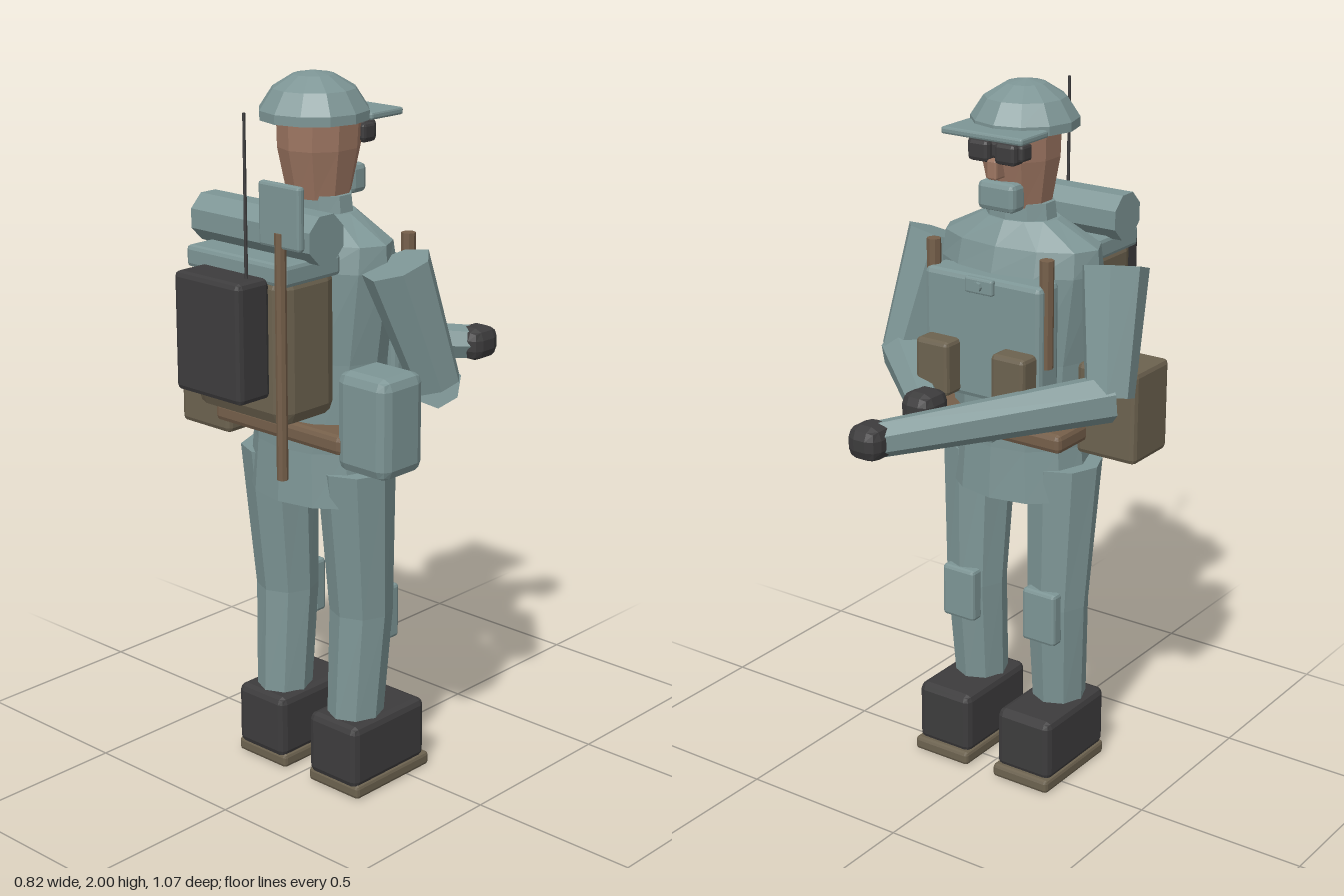
import * as THREE from 'three';
import { RoundedBoxGeometry } from 'three/addons/geometries/RoundedBoxGeometry.js';

const mat = (name, color) => {
  const m = new THREE.MeshStandardMaterial({ color, flatShading: true });
  m.name = name;
  return m;
};

export function createModel() {
  const cloth = mat('blue grey cloth', 0x7d9595);
  const brown = mat('canvas brown', 0x6c624f);
  const wood = mat('wood brown', 0x755f4a);
  const black = mat('dark rubber', 0x3d3c3d);
  const skin = mat('skin', 0x9c7561);

  const root = new THREE.Group();
  root.name = 'fieldSoldier';
  const add = (name, geo, m, x = 0, y = 0, z = 0) => {
    const mesh = new THREE.Mesh(geo, m);
    mesh.name = name;
    mesh.position.set(x, y, z);
    root.add(mesh);
    return mesh;
  };

  // Chamfered box given by its limits on each axis
  const box = (name, m, [x0, x1], [y0, y1], [z0, z1], c = 0.01) => add(name,
    new RoundedBoxGeometry(x1 - x0, y1 - y0, z1 - z0, 1, c), m,
    (x0 + x1) / 2, (y0 + y1) / 2, (z0 + z1) / 2);

  // Stack of elliptical rings, top first: [y, radiusX, radiusZ, centreZ, centreX]
  const loft = (name, m, rings, n = 12) => {
    const k = rings.length - 1;
    const g = new THREE.CylinderGeometry(1, 1, 1, n, k);
    const p = g.attributes.position;
    for (let i = 0; i < p.count; i++) {
      const [y, rx, rz, cz = 0, cx = 0] = rings[Math.round((0.5 - p.getY(i)) * k)];
      p.setXYZ(i, p.getX(i) * rx + cx, y, p.getZ(i) * rz + cz);
    }
    g.computeVertexNormals();
    return add(name, g, m);
  };

  // Tapered limb between two points
  const limb = (name, m, a, b, ra, rb, n = 7) => {
    const A = new THREE.Vector3(...a), B = new THREE.Vector3(...b);
    const d = A.clone().sub(B);
    const mesh = add(name, new THREE.CylinderGeometry(ra, rb, d.length(), n), m);
    mesh.position.copy(A).add(B).multiplyScalar(0.5);
    mesh.quaternion.setFromUnitVectors(new THREE.Vector3(0, 1, 0), d.normalize());
    return mesh;
  };

  // Legs, knee pads, boots
  for (const s of [-1, 1]) {
    const side = s > 0 ? 'left' : 'right';
    loft(side + 'Leg', cloth, [
      [0.945, 0.105, 0.11, 0.125, s * 0.145],
      [0.52, 0.088, 0.088, 0.1, s * 0.142],
      [0.19, 0.075, 0.082, 0.12, s * 0.138],
    ], 8);
    box(side + 'KneePad', cloth, [s * 0.14 - 0.055, s * 0.14 + 0.055], [0.42, 0.58], [0, 0.045]);
    box(side + 'Boot', black, [s * 0.14 - 0.09, s * 0.14 + 0.09], [0.03, 0.215], [-0.075, 0.22], 0.02);
    box(side + 'Sole', brown, [s * 0.14 - 0.094, s * 0.14 + 0.094], [0, 0.04], [-0.09, 0.215], 0.01);
  }

  // Tunic with skirt, shoulders and collar
  loft('tunic', cloth, [
    [1.635, 0.115, 0.085, 0.115],
    [1.57, 0.245, 0.13, 0.12],
    [1.5, 0.25, 0.15, 0.12],
    [1.25, 0.215, 0.15, 0.12],
    [1.0, 0.2, 0.152, 0.12],
    [0.85, 0.215, 0.16, 0.12],
  ]);
  loft('collar', cloth, [[1.68, 0.1, 0.075, 0.113], [1.6, 0.11, 0.08, 0.113]], 10);

  // Head, goggles, nose, mask
  loft('head', skin, [
    [1.89, 0.112, 0.118, 0.11],
    [1.8, 0.108, 0.115, 0.112],
    [1.67, 0.085, 0.085, 0.113],
  ], 10);
  box('nose', skin, [-0.016, 0.016], [1.755, 1.81], [-0.028, 0.02], 0.006);
  box('goggleStrap', black, [-0.09, 0.09], [1.81, 1.855], [-0.012, 0.035], 0.008);
  for (const s of [-1, 1])
    box('goggleLens', black, [s * 0.043 - 0.034, s * 0.043 + 0.034], [1.8, 1.86], [-0.032, 0.02], 0.012);
  box('mask', cloth, [-0.06, 0.06], [1.665, 1.745], [-0.012, 0.05], 0.015);

  // Helmet and visor
  loft('helmet', cloth, [
    [2.0, 0.001, 0.001, 0.135],
    [1.99, 0.055, 0.055, 0.132],
    [1.955, 0.112, 0.112, 0.13],
    [1.9, 0.148, 0.148, 0.13],
    [1.875, 0.148, 0.148, 0.13],
  ]);
  box('visor', cloth, [-0.13, 0.13], [1.872, 1.892], [-0.075, 0.05], 0.006);

  // Arms reaching forward; the right one is stretched out
  const arms = [
    ['left', [0.29, 1.53, 0.13], [0.345, 1.2, 0.03], [0.12, 1.14, -0.17], [0.107, 1.145, -0.19]],
    ['right', [-0.29, 1.53, 0.13], [-0.345, 1.2, 0.03], [0.05, 1.15, -0.46], [0.06, 1.15, -0.478]],
  ];
  for (const [side, shoulder, elbow, wrist, hand] of arms) {
    limb(side + 'UpperArm', cloth, shoulder, elbow, 0.095, 0.068);
    limb(side + 'Forearm', cloth, elbow, wrist, 0.068, 0.05);
    add(side + 'Hand', new RoundedBoxGeometry(0.1, 0.095, 0.112, 1, 0.032), black, ...hand);
  }

  // Chest rig with pouches and sticks
  box('chestPlate', cloth, [-0.19, 0.19], [1.15, 1.5], [-0.075, 0.02], 0.015);
  box('chestRadio', cloth, [-0.045, 0.045], [1.455, 1.5], [-0.09, -0.07], 0.006);
  add('radioKnob', new THREE.CylinderGeometry(0.014, 0.014, 0.02, 8), cloth, 0, 1.478, -0.09).rotation.x = Math.PI / 2;
  for (const s of [-1, 1]) {
    box('chestPouch', brown, [s * 0.125 - 0.054, s * 0.125 + 0.054], [1.16, 1.315], [-0.135, -0.06], 0.012);
    add('chestStick', new THREE.CylinderGeometry(0.02, 0.02, 0.3, 8), wood, s * 0.185, 1.42, -0.036);
  }

  // Belt, buckle and hip bags
  box('belt', wood, [-0.235, 0.235], [1.03, 1.085], [-0.045, 0.285], 0.015);
  box('buckle', cloth, [-0.035, 0.035], [1.03, 1.08], [-0.075, -0.04], 0.008);
  box('rightHipBag', brown, [-0.39, -0.2], [0.99, 1.255], [0.09, 0.265], 0.015);
  box('leftHipBag', cloth, [0.215, 0.39], [0.99, 1.265], [0.125, 0.285], 0.03);

  // Backpack, lid, bedroll and radio box
  box('backpack', brown, [-0.17, 0.17], [1.12, 1.53], [0.22, 0.425], 0.04);
  box('backpackLid', cloth, [-0.18, 0.18], [1.5, 1.56], [0.22, 0.43], 0.012);
  add('bedroll', new THREE.CylinderGeometry(0.068, 0.068, 0.43, 8).rotateY(Math.PI / 8)
    .rotateZ(Math.PI / 2), cloth, 0, 1.615, 0.312);
  box('radioBox', black, [-0.12, 0.12], [1.2, 1.52], [0.42, 0.532], 0.015);
  add('antenna', new THREE.CylinderGeometry(0.004, 0.005, 0.44, 6), black, 0.08, 1.72, 0.465);

  // Entrenching spade
  add('spadeHandle', new THREE.CylinderGeometry(0.015, 0.015, 0.65, 8), wood, 0.182, 1.325, 0.445);
  box('spadeBlade', cloth, [0.112, 0.255], [1.61, 1.775], [0.43, 0.453], 0.008);

  return root;
}
